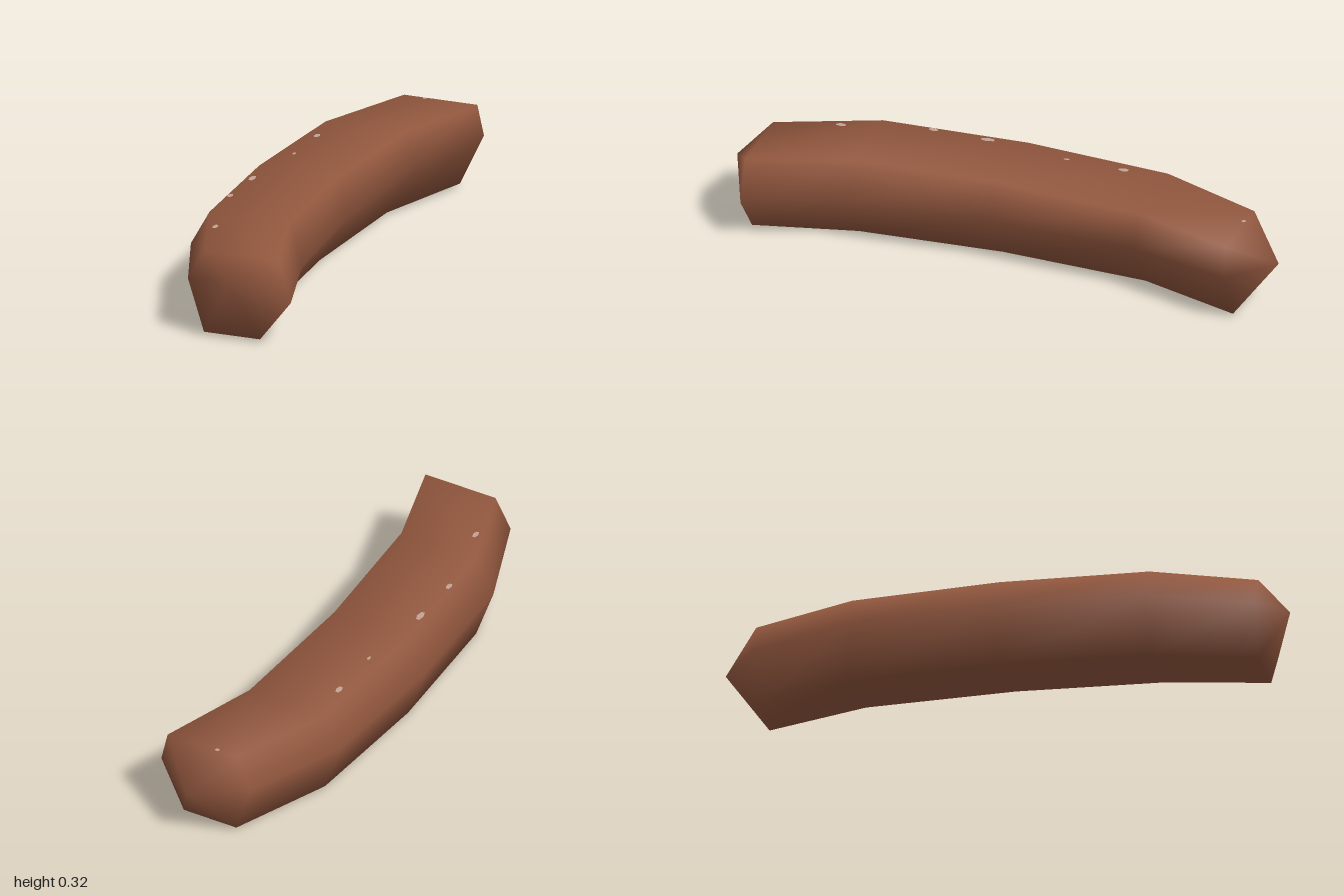
import * as THREE from 'three';

// Hexagonal rings, front to back:
// z at left/right apex, then x of left apex, top left, top right, right apex,
// bottom right, bottom left, then bottom y, top y, left apex y, right apex y
const RINGS = [
  [0.90, 0.93, -0.20, -0.14, 0.14, 0.185, 0.07, -0.14, 0.012, 0.31, 0.20, 0.16],
  [0.53, 0.57, -0.31, -0.24, 0.06, 0.11, -0.01, -0.24, 0.0, 0.32, 0.195, 0.17],
  [0.00, 0.05, -0.30, -0.23, 0.07, 0.11, 0.0, -0.23, 0.003, 0.317, 0.195, 0.18],
  [-0.52, -0.49, -0.225, -0.16, 0.14, 0.175, 0.07, -0.16, 0.008, 0.312, 0.195, 0.19],
  [-0.88, -0.85, -0.05, 0.01, 0.285, 0.31, 0.22, 0.01, 0.012, 0.31, 0.195, 0.20],
];
const FRONT_TIP = [-0.02, 0.235, 1.0];
const BACK_TIP = [0.14, 0.19, -1.0];

function bodyGeometry() {
  const pos = [], idx = [];
  for (const [zl, zr, l, tl, tr, r, br, bl, y0, y1, yl, yr] of RINGS) {
    const corners = [[l, yl], [tl, y1], [tr, y1], [r, yr], [br, y0], [bl, y0]];
    for (const [x, y] of corners) {
      pos.push(x, y, THREE.MathUtils.lerp(zl, zr, (x - l) / (r - l)));
    }
  }
  const n = 6, last = (RINGS.length - 1) * n;
  const front = RINGS.length * n, back = front + 1;
  pos.push(...FRONT_TIP, ...BACK_TIP);
  for (let j = 0; j < n; j++) {
    const k = (j + 1) % n;
    for (let i = 0; i < last; i += n) {
      idx.push(i + j, i + k, i + n + j, i + k, i + n + k, i + n + j);
    }
    idx.push(front, k, j, back, last + j, last + k);
  }
  const g = new THREE.BufferGeometry();
  g.setAttribute('position', new THREE.Float32BufferAttribute(pos, 3));
  g.setIndex(idx);
  g.computeVertexNormals();
  return g;
}

export function createModel() {
  const group = new THREE.Group();
  group.name = 'sausage';
  const brown = new THREE.MeshStandardMaterial({ color: 0x92573e });
  brown.name = 'cooked brown';
  const pale = new THREE.MeshStandardMaterial({ color: 0xc4a396 });
  pale.name = 'pale fleck';

  // Curved body with blunt pointed ends
  const body = new THREE.Mesh(bodyGeometry(), brown);
  body.name = 'body';
  group.add(body);

  // Tiny pale flecks along the upper skin: x, z, half width, half length
  const flecks = [
    [-0.14, -0.36, 0.011, 0.02], [-0.155, -0.15, 0.006, 0.012],
    [-0.21, 0.15, 0.012, 0.027], [-0.225, 0.35, 0.01, 0.018],
    [-0.175, 0.67, 0.01, 0.02], [0.09, -0.86, 0.009, 0.008],
  ];
  const ray = new THREE.Raycaster();
  const down = new THREE.Vector3(0, -1, 0);
  body.updateMatrixWorld();
  for (const [x, z, w, d] of flecks) {
    ray.set(new THREE.Vector3(x, 1, z), down);
    const hit = ray.intersectObject(body)[0];
    if (!hit) continue;
    const fleck = new THREE.Mesh(new THREE.CircleGeometry(1, 6), pale);
    fleck.name = 'fleck';
    fleck.scale.set(w, d, 1);
    fleck.quaternion.setFromUnitVectors(new THREE.Vector3(0, 0, 1), hit.face.normal);
    fleck.position.copy(hit.point).addScaledVector(hit.face.normal, 0.001);
    group.add(fleck);
  }
  return group;
}
